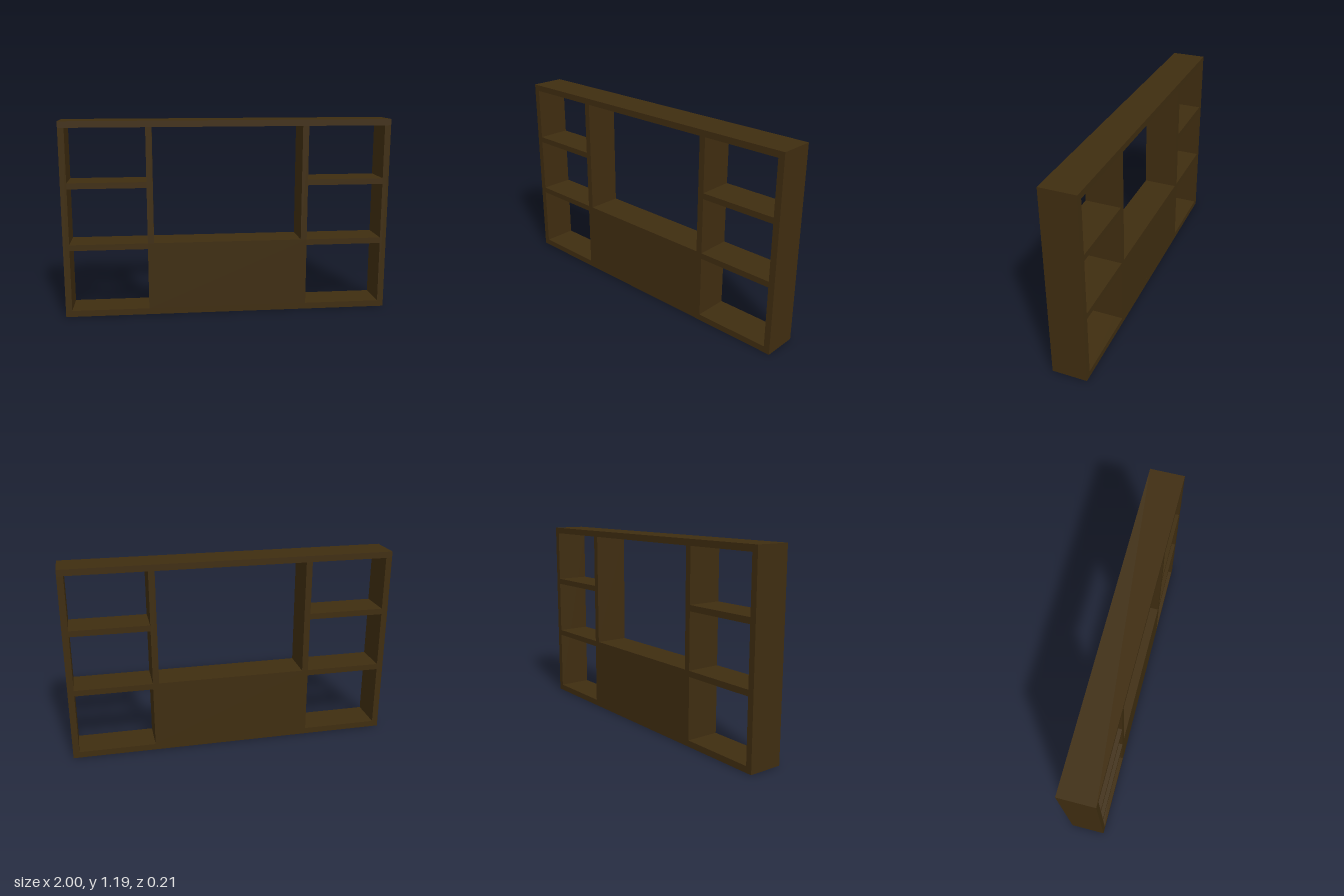
import * as THREE from 'three';

const HEIGHT = 1.194;
const DEPTH = 0.212;
const BOARD = 0.038;

export function createModel() {
  const model = new THREE.Group();
  model.name = 'shelvingUnit';
  const wood = new THREE.MeshStandardMaterial({ color: 0x3f2d10 });
  wood.name = 'dark brown wood';

  // A full-depth board given by its left, right, bottom and top edges
  function board(name, x0, x1, y0, y1) {
    const mesh = new THREE.Mesh(new THREE.BoxGeometry(x1 - x0, y1 - y0, DEPTH), wood);
    mesh.position.set((x0 + x1) / 2, (y0 + y1) / 2, 0);
    mesh.name = name;
    model.add(mesh);
  }

  const outer = 1 - BOARD;            // inner face of the side walls
  const inner = 0.492;                // outer face of the dividers
  const ceiling = HEIGHT - BOARD;
  const cabinetTop = 0.453;

  // Outer frame
  board('topBoard', -1, 1, ceiling, HEIGHT);
  board('bottomBoard', -1, 1, 0, BOARD);

  // Closed cabinet under the central opening
  board('cabinet', -inner, inner, BOARD, cabinetTop);

  for (const [side, s] of [['right', -1], ['left', 1]]) {
    const span = (name, a, b, y0, y1) =>
      board(side + name, Math.min(s * a, s * b), Math.max(s * a, s * b), y0, y1);
    span('Wall', outer, 1, BOARD, ceiling);
    span('Divider', inner - BOARD, inner, cabinetTop, ceiling);
    // Shelves between wall and divider
    span('LowerShelf', inner, outer, cabinetTop - 0.036, cabinetTop);
    span('UpperShelf', inner, outer, 0.794, 0.83);
  }
  return model;
}
